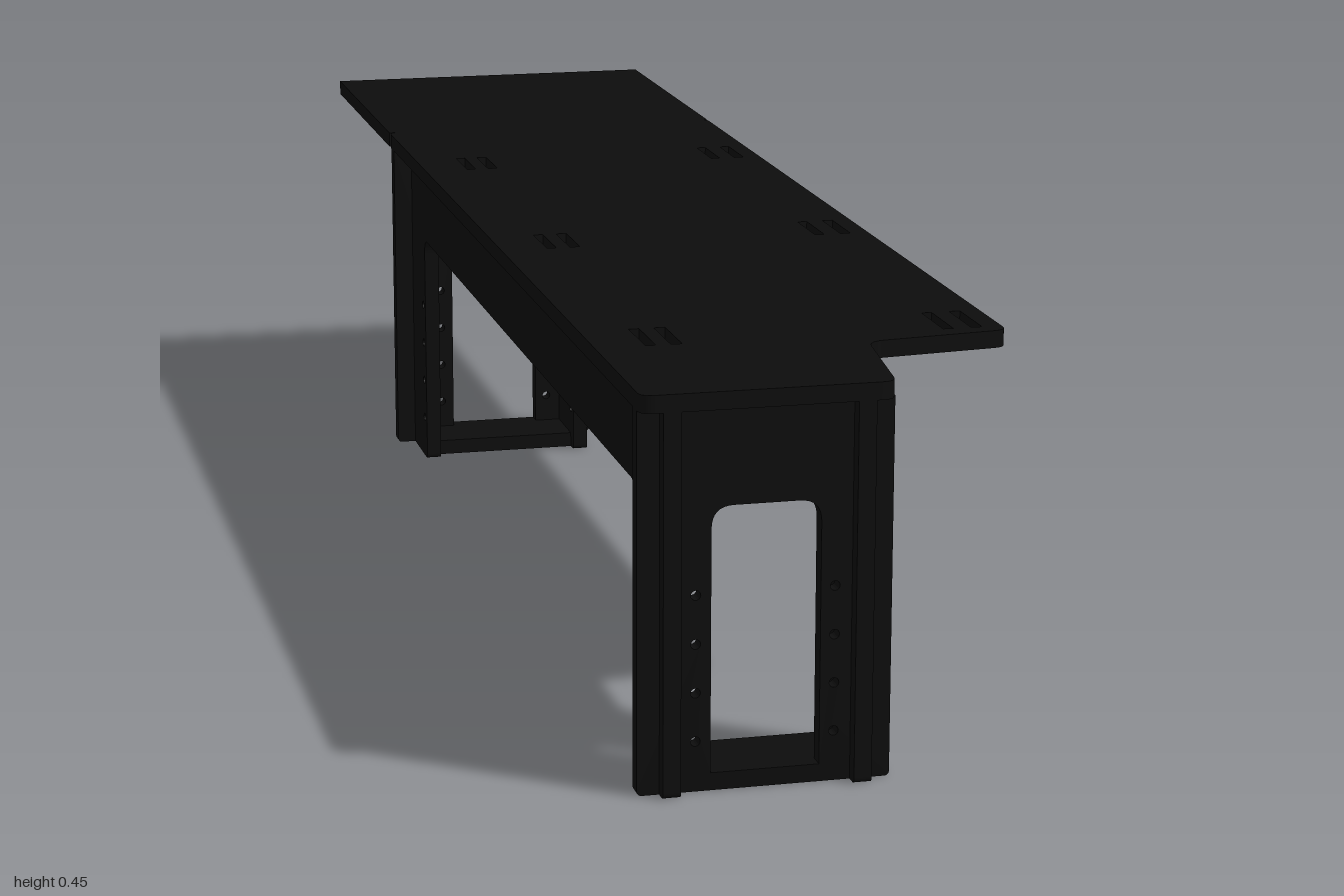
import * as THREE from 'three';

const black = new THREE.MeshStandardMaterial({ color: 0x0d0d0d });
black.name = 'matte black';

const T = 0.02; // sheet thickness

// Traces a closed outline of [x, y, cornerRadius] points
function trace(path, pts) {
  const n = pts.length;
  pts.forEach(([x, y, r = 0], i) => {
    const toward = ([px, py]) => {
      const d = Math.hypot(px - x, py - y);
      return [x + ((px - x) / d) * r, y + ((py - y) / d) * r];
    };
    const a = toward(pts[(i + n - 1) % n]);
    const b = toward(pts[(i + 1) % n]);
    if (i === 0) path.moveTo(...a);
    else path.lineTo(...a);
    if (r > 0) path.quadraticCurveTo(x, y, ...b);
  });
  path.closePath();
  return path;
}

const rect = (x0, x1, y0, y1, rBottom = 0, rTop = rBottom) =>
  [[x0, y0, rBottom], [x1, y0, rBottom], [x1, y1, rTop], [x0, y1, rTop]];

const roundHole = (x, y) => new THREE.Path().absarc(x, y, 0.0055, 0, Math.PI * 2, true);
const boltHeights = [0.057, 0.112, 0.167, 0.222];

// Cuts a flat sheet from an outline and its holes
function sheet(outline, holes = []) {
  const shape = trace(new THREE.Shape(), outline);
  shape.holes = holes;
  return new THREE.ExtrudeGeometry(shape, { depth: T, bevelEnabled: false, curveSegments: 8 });
}

export function createModel() {
  const model = new THREE.Group();
  model.name = 'bench';
  const add = (name, geometry, x, y, z) => {
    const mesh = new THREE.Mesh(geometry, black);
    mesh.name = name;
    mesh.position.set(x, y, z);
    model.add(mesh);
  };

  // Main top with the cut-away front corner and pairs of strap slots
  const slots = [];
  for (const z of [-0.335, 0.185, 0.705]) {
    for (const [x0, x1] of [[-0.178, -0.166], [-0.149, -0.136], [0.166, 0.178], [0.199, 0.212]]) {
      slots.push(trace(new THREE.Path(), rect(x0, x1, z, z + 0.08)));
    }
  }
  const top = sheet([
    [-0.235, -0.549, 0.014], [0.235, -0.549, 0.014], [0.235, 0.805, 0.016],
    [0.067, 0.823, 0.02], [0.045, 1, 0.016], [-0.235, 1, 0.016],
  ], slots);
  add('mainTop', top.rotateX(Math.PI / 2), 0, 0.45, 0);

  // Rear extension of the top
  const extension = sheet(rect(-0.235, 0.235, -1, -0.549));
  add('rearTop', extension.rotateX(Math.PI / 2), 0, 0.45, 0);

  // Long side panels with an arch between the legs
  const sideHoles = [0.886, -0.432].flatMap((z) => boltHeights.map((y) => roundHole(z, y)));
  const side = sheet([
    [-0.55, 0, 0.006], [-0.415, 0, 0.006], [-0.415, 0.32, 0.02], [0.87, 0.32, 0.02],
    [0.87, 0, 0.006], [1, 0, 0.006], [1, 0.43], [-0.55, 0.43],
  ], sideHoles).rotateY(-Math.PI / 2);
  add('rightSidePanel', side, -0.19, 0, 0);
  add('leftSidePanel', side, 0.024, 0, 0);

  // End panels with a tall window, crossing the side panels
  const endHoles = [-0.17, -0.015].flatMap((x) => boltHeights.map((y) => roundHole(x, y)));
  endHoles.push(trace(new THREE.Path(), rect(-0.153, -0.031, T, 0.32, 0, 0.025)));
  const end = sheet(rect(-0.235, 0.049, 0, 0.43, 0.006, 0), endHoles);
  add('frontEndPanel', end, 0, 0, 0.963);
  add('rearEndPanel', end, 0, 0, -0.533);

  // Foot plates tying the side panels together
  const foot = new THREE.BoxGeometry(0.194, T, 0.08);
  add('frontFootPlate', foot, -0.093, T / 2, 0.923);
  add('rearFootPlate', foot, -0.093, T / 2, -0.473);

  return model;
}
